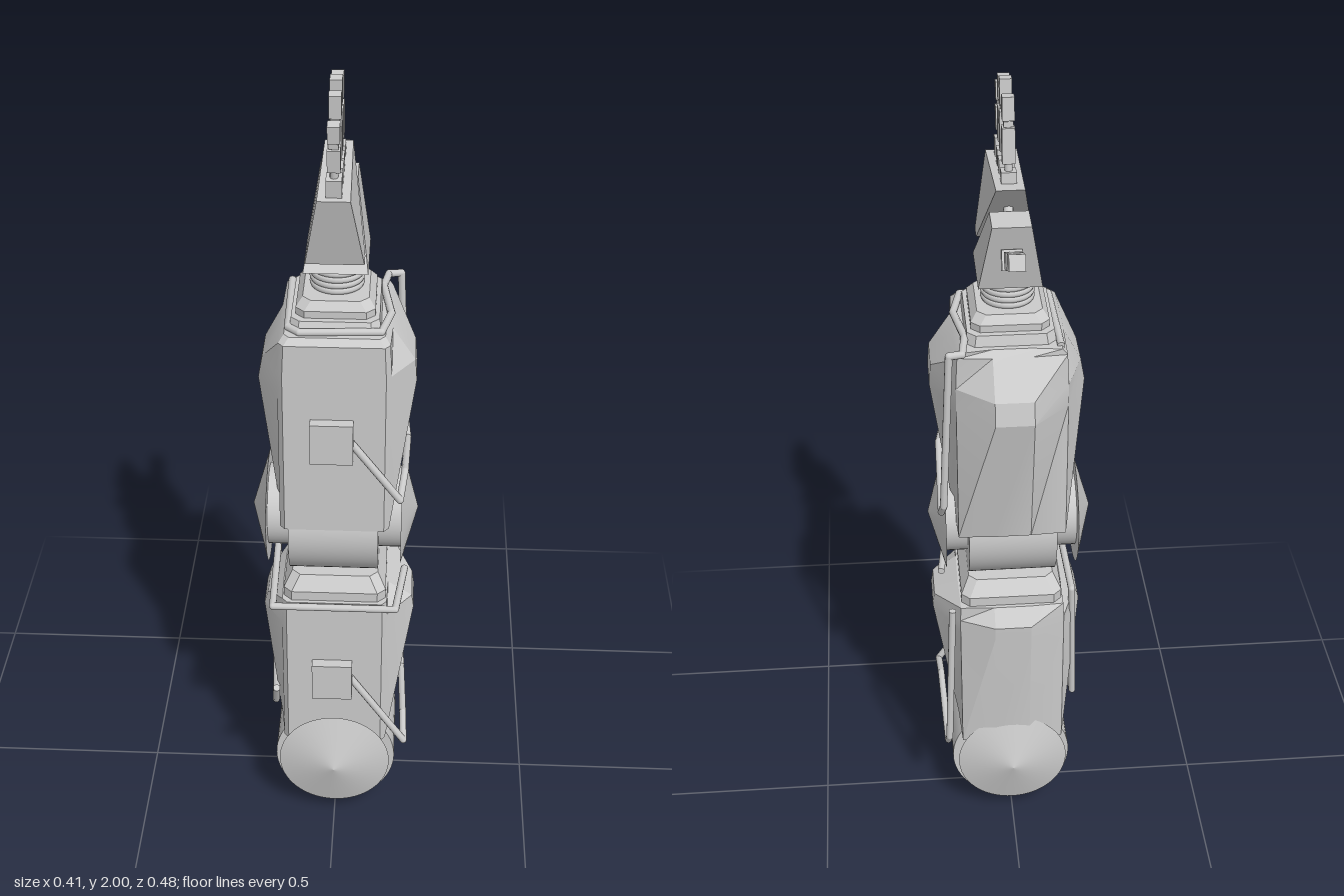
import * as THREE from 'three';
import { toCreasedNormals } from 'three/addons/utils/BufferGeometryUtils.js';

const grey = new THREE.MeshStandardMaterial({ color: 0xcccccc });
const V = (p) => new THREE.Vector3(...p);

function add(parent, name, geo, pos = [0, 0, 0]) {
  const mesh = new THREE.Mesh(geo, grey);
  mesh.name = name;
  mesh.position.set(...pos);
  parent.add(mesh);
  return mesh;
}

function group(parent, name) {
  const g = new THREE.Group();
  g.name = name;
  parent.add(g);
  return g;
}

// Skin over rings listed bottom to top; each ring is { y, pts: [[x, z], ...] } with capped ends
function loft(rings) {
  const n = rings[0].pts.length, pos = [], idx = [];
  rings.forEach((r) => r.pts.forEach(([x, z]) => pos.push(x, r.y, z)));
  for (let i = 0; i < rings.length - 1; i++) {
    for (let j = 0; j < n; j++) {
      const a = i * n + j, b = i * n + (j + 1) % n;
      idx.push(a, b, b + n, a, b + n, a + n);
    }
  }
  const top = (rings.length - 1) * n;
  for (let j = 1; j < n - 1; j++) idx.push(0, j + 1, j, top, top + j, top + j + 1);
  const g = new THREE.BufferGeometry();
  g.setAttribute('position', new THREE.Float32BufferAttribute(pos, 3));
  g.setIndex(idx);
  return toCreasedNormals(g, 0.3);
}

// Rectangle with cut corners
function rect(y, hx, z0, z1, c) {
  return { y, pts: [[-hx + c, z1], [hx - c, z1], [hx, z1 - c], [hx, z0 + c],
    [hx - c, z0], [-hx + c, z0], [-hx, z0 + c], [-hx, z1 - c]] };
}

// Arm section: flat front, bulging side and back panels
function armRing(y, left, right, back, w = 0.13, front = 0.195) {
  return { y, pts: [[-w + 0.012, front], [w - 0.012, front], [w, front - 0.015],
    [right, 0.1], [right, 0], [w, -0.115], [0.045, back], [-0.045, back],
    [-w, -0.115], [-left, 0], [-left, 0.1], [-w, front - 0.015]] };
}

// Straight cylinder between two points
function rod(parent, name, a, b, r, seg = 10) {
  const d = V(b).sub(V(a));
  const m = add(parent, name, new THREE.CylinderGeometry(r, r, d.length(), seg));
  m.position.copy(V(a)).addScaledVector(d, 0.5);
  m.quaternion.setFromUnitVectors(new THREE.Vector3(0, 1, 0), d.normalize());
  return m;
}

// Bent hose: straight runs with round elbows
function hose(parent, name, pts, r = 0.009) {
  const g = group(parent, name);
  for (let i = 0; i < pts.length - 1; i++) {
    rod(g, 'hoseRun', pts[i], pts[i + 1], r);
    if (i) add(g, 'hoseBend', new THREE.SphereGeometry(r, 10, 8), pts[i]);
  }
}

// Joint drum along y with spindle discs and conical caps at both ends
function joint(parent, name, capOffset) {
  const g = group(parent, name);
  add(g, 'drum', new THREE.CylinderGeometry(0.155, 0.155, 0.215, 64));
  for (const s of [-1, 1]) {
    add(g, 'spindle', new THREE.CylinderGeometry(0.1, 0.1, 0.06, 40), [0, s * 0.132, -capOffset]);
    const cap = add(g, 'cap', new THREE.ConeGeometry(0.142, 0.041, 64), [0, s * 0.182, -capOffset]);
    if (s < 0) cap.rotation.x = Math.PI;
  }
  return g;
}

// Tapered slab from a [z, y] outline, thinner toward the fingers
function handSlab(outline) {
  const shape = new THREE.Shape(outline.map(([z, y]) => new THREE.Vector2(-z, y)));
  const g = new THREE.ExtrudeGeometry(shape, { depth: 1, bevelEnabled: false });
  g.translate(0, 0, -0.5).rotateY(Math.PI / 2);
  const p = g.attributes.position;
  for (let i = 0; i < p.count; i++) {
    p.setX(i, p.getX(i) * 2 * (0.032 + (1.8 - p.getY(i)) * 0.17));
  }
  g.computeVertexNormals();
  return g;
}

// Digit growing along +y: knuckles and boxed segments
function digit(parent, name, base, tip, w, foot, split) {
  const g = group(parent, name);
  const d = V(tip).sub(V(base)), len = d.length();
  g.position.set(...base);
  g.quaternion.setFromUnitVectors(new THREE.Vector3(0, 1, 0), d.normalize());
  const seg = (n, y0, y1, k) =>
    add(g, n, new THREE.BoxGeometry(w * k, y1 - y0, w * k), [0, (y0 + y1) / 2, 0]);
  add(g, 'pin', new THREE.CylinderGeometry(w * 0.3, w * 0.3, len * 0.9, 12), [0, len * 0.45, 0]);
  seg('socket', -0.01, foot, 1.15);
  seg('lowerSegment', foot + 0.018, len * split - 0.008, 0.95);
  seg('knuckle', len * split - 0.006, len * split + 0.006, 0.7);
  seg('fingertip', len * split + 0.008, len, 0.9);
}

export function createModel() {
  const model = new THREE.Group();
  model.name = 'mechanicalArm';

  // Shoulder joint, axis front to back
  const shoulder = joint(model, 'shoulderJoint', 0.03);
  shoulder.rotation.x = Math.PI / 2;
  shoulder.position.set(0, 0.155, 0.038);

  // Elbow joint, axis side to side
  const elbow = joint(model, 'elbowJoint', 0);
  elbow.rotation.z = Math.PI / 2;
  elbow.position.set(-0.003, 0.885, 0.042);

  // Upper arm
  const upper = group(model, 'upperArm');
  add(upper, 'shell', loft([
    armRing(0.25, 0.14, 0.135, -0.125),
    armRing(0.62, 0.18, 0.195, -0.153),
    armRing(0.655, 0.17, 0.19, -0.155),
    armRing(0.695, 0.13, 0.13, -0.12, 0.128),
  ]));
  add(upper, 'collar', loft([
    rect(0.68, 0.125, -0.11, 0.185, 0.02),
    rect(0.72, 0.125, -0.11, 0.185, 0.02),
    rect(0.755, 0.105, -0.08, 0.16, 0.02),
  ]));
  add(upper, 'controlBox', new THREE.BoxGeometry(0.1, 0.105, 0.03), [-0.005, 0.463, 0.207]);
  hose(upper, 'sideHose', [[0.04, 0.47, 0.205], [0.178, 0.265, 0.205], [0.175, 0.285, 0.12],
    [0.168, 0.25, -0.11], [0.165, 0.28, -0.13], [0.15, 0.7, -0.13]]);
  hose(upper, 'strapHose', [[0.17, 0.695, 0.04], [0.15, 0.692, 0.208], [-0.15, 0.692, 0.208],
    [-0.155, 0.695, -0.06], [-0.165, 0.34, -0.04], [-0.15, 0.36, 0.17], [-0.145, 0.43, 0.208]]);

  // Forearm
  const fore = group(model, 'forearm');
  add(fore, 'shell', loft([
    armRing(0.915, 0.135, 0.135, -0.12),
    armRing(1.28, 0.18, 0.187, -0.197),
    armRing(1.335, 0.17, 0.183, -0.185),
    armRing(1.415, 0.128, 0.13, -0.12, 0.126),
    armRing(1.43, 0.115, 0.115, -0.105, 0.114, 0.18),
  ]));
  add(fore, 'deck', loft([
    rect(1.42, 0.105, -0.095, 0.165, 0.02),
    rect(1.455, 0.1, -0.085, 0.15, 0.02),
  ]));
  add(fore, 'collar', loft([
    rect(1.44, 0.09, -0.07, 0.135, 0.02),
    rect(1.472, 0.09, -0.07, 0.135, 0.02),
    rect(1.492, 0.075, -0.055, 0.12, 0.02),
  ]));
  add(fore, 'controlBox', new THREE.BoxGeometry(0.1, 0.105, 0.03), [-0.005, 1.172, 0.207]);
  hose(fore, 'sideHose', [[0.04, 1.17, 0.205], [0.155, 1.015, 0.205], [0.165, 1.04, 0.12],
    [0.17, 0.99, -0.11], [0.165, 1.02, -0.13], [0.145, 1.435, -0.135], [0.115, 1.435, -0.13],
    [0.105, 1.44, -0.06], [0.125, 1.435, 0.065], [0.105, 1.435, 0.155], [-0.08, 1.435, 0.165],
    [-0.106, 1.435, 0.14], [-0.112, 1.43, -0.1]]);

  // Ribbed wrist
  const wrist = group(model, 'wrist');
  add(wrist, 'core', new THREE.CylinderGeometry(0.042, 0.042, 0.09, 24), [0, 1.525, 0.03]);
  for (let i = 0; i < 5; i++) {
    const rib = add(wrist, 'rib', new THREE.TorusGeometry(0.055, 0.008, 8, 32), [0, 1.498 + i * 0.014, 0.03]);
    rib.rotation.x = Math.PI / 2;
  }

  // Hand: two palm plates joined by short pins
  const hand = group(model, 'hand');
  add(hand, 'palm', handSlab([[0.21, 1.775], [0.16, 1.603], [0.115, 1.603], [-0.062, 1.8]]));
  add(hand, 'thumbBase', handSlab([[0.122, 1.56], [-0.058, 1.56], [-0.1, 1.73], [-0.02, 1.73], [0.095, 1.59]]));
  for (let i = 0; i < 5; i++) {
    const z = -0.005 + i * 0.024, y = 1.718 - i * 0.027;
    rod(hand, 'palmPin', [0, y - 0.022, z - 0.025], [0, y + 0.022, z + 0.025], 0.011, 12);
  }

  // Digits: base z, tip z, tip height
  [[0.178, 0.2, 1.945], [0.116, 0.134, 1.985], [0.062, 0.08, 2.0], [-0.005, 0.014, 1.985]].forEach(([z0, z1, y1]) =>
    digit(hand, 'finger', [0, 1.785, z0], [0, y1, z1], 0.03, 0.035, 0.7));
  digit(hand, 'thumb', [0, 1.645, -0.085], [0, 1.715, -0.235], 0.04, 0.02, 0.63);

  return model;
}
